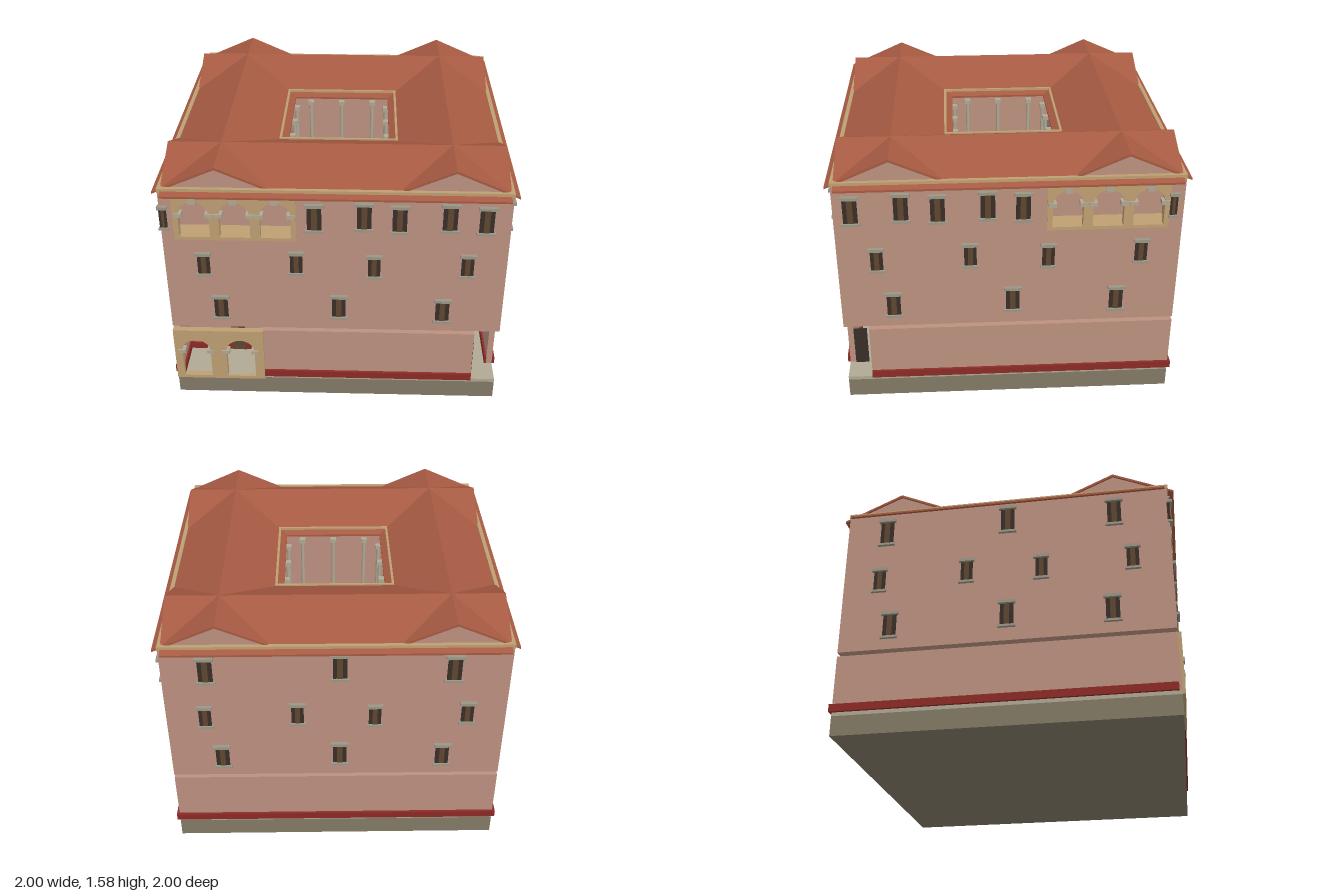
import * as THREE from 'three';

const mat = (color) => new THREE.MeshStandardMaterial({ color, side: THREE.DoubleSide });
const PLASTER = mat(0xbc9180), STONE = mat(0x827a66), PALE = mat(0xb0a894), RED = mat(0x8c2a26);
const OCHRE = mat(0xbf9f72), TILE = mat(0xa65a42), DARK = mat(0x3a2e28), WOOD = mat(0x5e4630);
const TRIM = mat(0x9b9686), WATER = mat(0x2f6470);
const H = 0.965; // half width of the outer walls
const T = 0.035; // wall thickness

function add(parent, name, geometry, material) {
  const mesh = new THREE.Mesh(geometry, material);
  mesh.name = name;
  parent.add(mesh);
  return mesh;
}

// Box given by its minimum and maximum on each axis
function box(parent, name, material, x0, x1, y0, y1, z0, z1) {
  const mesh = add(parent, name, new THREE.BoxGeometry(x1 - x0, y1 - y0, z1 - z0), material);
  mesh.position.set((x0 + x1) / 2, (y0 + y1) / 2, (z0 + z1) / 2);
  return mesh;
}

function trace(path, points) {
  points.forEach(([x, y], i) => (i ? path.lineTo(x, y) : path.moveTo(x, y)));
  path.closePath();
  return path;
}
const rect = (path, x0, x1, y0, y1) => trace(path, [[x0, y0], [x1, y0], [x1, y1], [x0, y1]]);
const extrude = (shape, depth) =>
  new THREE.ExtrudeGeometry(shape, { depth, bevelEnabled: false, curveSegments: 16 });

// Square ring lying flat, from half width a (inside) to b (outside)
function ring(parent, name, material, a, b, y0, y1) {
  const shape = rect(new THREE.Shape(), -b, b, -b, b);
  shape.holes.push(rect(new THREE.Path(), -a, a, -a, a));
  const mesh = add(parent, name, extrude(shape, y1 - y0), material);
  mesh.rotation.x = -Math.PI / 2;
  mesh.position.y = y0;
}

// Panel pierced by round-headed openings
function arcade(parent, x0, x1, y0, y1, openings, sill, spring, z0, z1, keystones) {
  const group = new THREE.Group();
  group.name = 'arcade';
  const shape = rect(new THREE.Shape(), x0, x1, y0, y1);
  for (const [a, b] of openings) {
    const hole = new THREE.Path();
    const r = (b - a) / 2, c = (a + b) / 2;
    hole.moveTo(a, sill).lineTo(b, sill).lineTo(b, spring);
    hole.absarc(c, spring, r, 0, Math.PI, false);
    hole.closePath();
    shape.holes.push(hole);
    for (const [edge, s] of [[a, 1], [b, -1]]) {
      const p = edge + s * 0.02, q = edge - s * 0.025;
      box(group, 'impost', PALE, Math.min(p, q), Math.max(p, q), spring - 0.012, spring + 0.012, z0, z1 + 0.008);
    }
    if (keystones) {
      const key = trace(new THREE.Shape(), [[c - 0.02, spring + r - 0.01], [c + 0.02, spring + r - 0.01],
        [c + 0.027, y1], [c - 0.027, y1]]);
      add(group, 'keystone', extrude(key, z1 - z0 + 0.01), PALE).position.z = z0;
    }
  }
  add(group, 'arcadePanel', extrude(shape, z1 - z0), OCHRE).position.z = z0;
  parent.add(group);
}

// Window with a split shutter, lintel and sill
function windowUnit(parent, u, y, w, h) {
  const g = new THREE.Group();
  g.name = 'window';
  box(g, 'windowFrame', DARK, -w / 2, w / 2, -h / 2, h / 2, -0.01, 0.006);
  box(g, 'windowShutter', WOOD, -w * 0.2, w * 0.2, -h / 2, h / 2, 0, 0.009);
  box(g, 'windowLintel', TRIM, -w * 0.65, w * 0.65, h / 2, h / 2 + 0.018, -0.01, 0.022);
  box(g, 'windowSill', TRIM, -w * 0.65, w * 0.65, -h / 2 - 0.014, -h / 2, -0.01, 0.018);
  g.position.set(u, y, H);
  parent.add(g);
}

// Upper wall with its windows; "loggia" is the left end of the arcade, if any
function facade(parent, name, angle, topWindows, loggia) {
  const g = new THREE.Group();
  g.name = name;
  const shape = rect(new THREE.Shape(), -H, H, 0.51, 1.43);
  if (loggia !== undefined) {
    const a = loggia, b = loggia + 0.68;
    shape.holes.push(rect(new THREE.Path(), a, b, 1.125, 1.415));
    const starts = [0.03, 0.255, 0.48];
    arcade(g, a, b, 1.125, 1.415, starts.map((s) => [a + s, a + s + 0.17]), 1.145, 1.285, H - T, H + 0.005, true);
    box(g, 'loggiaBack', PLASTER, a, b, 1.125, 1.415, H - 0.14, H - 0.13);
    box(g, 'loggiaFloor', OCHRE, a, b, 1.125, 1.14, H - 0.13, H - T);
    box(g, 'loggiaCeiling', PLASTER, a, b, 1.405, 1.415, H - 0.13, H - T);
    for (const x of [a, b - 0.01]) box(g, 'loggiaSide', PLASTER, x, x + 0.01, 1.125, 1.415, H - 0.13, H - T);
    box(g, 'loggiaCornice', PALE, a, b, 1.413, 1.422, H - T, H + 0.012);
  }
  add(g, 'upperWall', extrude(shape, T), PLASTER).position.z = H - T;
  topWindows.forEach(([u, y, w, h]) => windowUnit(g, u, y, w ?? 0.08, h ?? 0.148));
  [-0.745, -0.22, 0.22, 0.745].forEach((u, i) => windowUnit(g, u, i % 2 ? 0.975 : 0.96, 0.07, 0.125));
  [-0.665, 0.02, 0.62].forEach((u, i) => windowUnit(g, u, i === 1 ? 0.672 : 0.657, 0.078, 0.135));
  g.rotation.y = angle;
  parent.add(g);
}

// Stretch of ground floor wall with its red skirting, seen from outside
function groundWall(parent, angle, u0, u1, s0 = u0, s1 = u1) {
  const g = new THREE.Group();
  g.name = 'groundFloorSide';
  box(g, 'groundWall', PLASTER, u0, u1, 0.14, 0.485, H - T, H);
  box(g, 'redSkirting', RED, s0, s1, 0.14, 0.185, H - T - 0.012, 0.98);
  g.rotation.y = angle;
  parent.add(g);
}

// Gabled roof wing running the length of one side
function roofWing(parent, angle) {
  const g = new THREE.Group();
  g.name = 'roofWing';
  const section = trace(new THREE.Shape(), [[-0.35, 1.42], [0, 1.575], [0.35, 1.42], [0.35, 1.408], [0, 1.56], [-0.35, 1.408]]);
  const tiles = add(g, 'roofTiles', extrude(section, 1.9), TILE);
  tiles.position.set(0.65, 0, -0.95);
  const gable = trace(new THREE.Shape(), [[-0.3, 1.43], [0.3, 1.43], [0, 1.562]]);
  for (const z of [-0.94, 0.93]) add(g, 'pediment', extrude(gable, 0.01), PLASTER).position.set(0.65, 0, z);
  g.rotation.y = angle;
  parent.add(g);
}

export function createModel() {
  const model = new THREE.Group();
  model.name = 'courtyardPalace';
  const Q = Math.PI / 2;

  // Plinth and floor
  box(model, 'plinth', STONE, -H, H, 0, 0.118, -H, H);
  box(model, 'floorSlab', PALE, -H, H, 0.118, 0.14, -H, H);
  box(model, 'courtyardFloor', STONE, -0.35, 0.35, 0.14, 0.146, -0.35, 0.35);

  // Ground floor, open at the front left corner of the plan and at the arcade
  groundWall(model, 0, -0.43, 0.82);
  groundWall(model, Q, -0.82, H, -0.82, 0.98);
  groundWall(model, 2 * Q, -H, H, -0.98, 0.98);
  groundWall(model, -Q, -H, H, -0.98, 0.95);
  arcade(model, -H, -0.43, 0.12, 0.485, [[-0.92, -0.75], [-0.655, -0.485]], 0.14, 0.33, 0.945, 0.982, false);

  // Porch behind the arcade
  box(model, 'porchBack', PLASTER, -0.93, -0.43, 0.14, 0.485, 0.7, 0.72);
  box(model, 'porchSide', PLASTER, -0.45, -0.43, 0.14, 0.485, 0.72, 0.94);
  box(model, 'porchSkirting', RED, -0.93, -0.45, 0.14, 0.185, 0.72, 0.73);
  box(model, 'porchDoor', WOOD, -0.66, -0.575, 0.14, 0.395, 0.72, 0.735);
  box(model, 'porchDoorLintel', PALE, -0.675, -0.56, 0.395, 0.412, 0.72, 0.745);
  box(model, 'cornerDoor', DARK, 0.82, 0.827, 0.14, 0.39, 0.85, 0.93);

  // Upper storeys
  ring(model, 'upperFloor', PLASTER, 0.35, H - 0.002, 0.511, 0.525);
  facade(model, 'frontFacade', 0, [[-0.947, 1.265, 0.042, 0.12], [-0.115, 1.277], [0.16, 1.29], [0.355, 1.277],
    [0.63, 1.29], [0.83, 1.277]], -0.895);
  facade(model, 'rightFacade', Q, [[-0.87, 1.277], [-0.595, 1.29], [-0.395, 1.277], [-0.12, 1.29],
    [0.075, 1.277], [0.907, 1.265, 0.042, 0.12]], 0.207);
  const plain = [[-0.72, 1.29], [0.02, 1.305], [0.65, 1.29]];
  facade(model, 'backFacade', 2 * Q, plain);
  facade(model, 'leftFacade', -Q, plain);

  // Courtyard walls and tall columns
  ring(model, 'courtyardWalls', PLASTER, 0.335, 0.35, 0.14, 1.43);
  const shaft = new THREE.CylinderGeometry(0.011, 0.014, 1.23, 12);
  for (let side = 0; side < 4; side++) {
    const row = new THREE.Group();
    row.name = 'columnRow';
    for (const x of [-0.2, 0, 0.2]) {
      add(row, 'columnShaft', shaft, PALE).position.set(x, 0.775, 0.287);
      box(row, 'columnBase', PALE, x - 0.018, x + 0.018, 0.14, 0.165, 0.269, 0.305);
      box(row, 'columnCapital', PALE, x - 0.018, x + 0.018, 1.375, 1.4, 0.269, 0.305);
    }
    row.rotation.y = side * Q;
    model.add(row);
  }

  // Fountain
  const basin = [[0.075, 0.146], [0.09, 0.146], [0.092, 0.2], [0.075, 0.2], [0.075, 0.146]];
  add(model, 'fountainBasin', new THREE.LatheGeometry(basin.map(([x, y]) => new THREE.Vector2(x, y)), 32), PALE);
  add(model, 'fountainWater', new THREE.CylinderGeometry(0.076, 0.076, 0.04, 32), WATER).position.y = 0.166;
  add(model, 'fountainPost', new THREE.CylinderGeometry(0.01, 0.014, 0.12, 12), PALE).position.y = 0.23;
  add(model, 'fountainBowl', new THREE.CylinderGeometry(0.022, 0.01, 0.02, 16), TRIM).position.y = 0.28;

  // Roof wings with the cornices that edge them
  for (let side = 0; side < 4; side++) roofWing(model, side * Q);
  ring(model, 'outerCornice', OCHRE, 0.945, 0.96 + 0.008, 1.425, 1.451);
  ring(model, 'courtyardCornice', OCHRE, 0.338, 0.352, 1.425, 1.451);
  return model;
}
